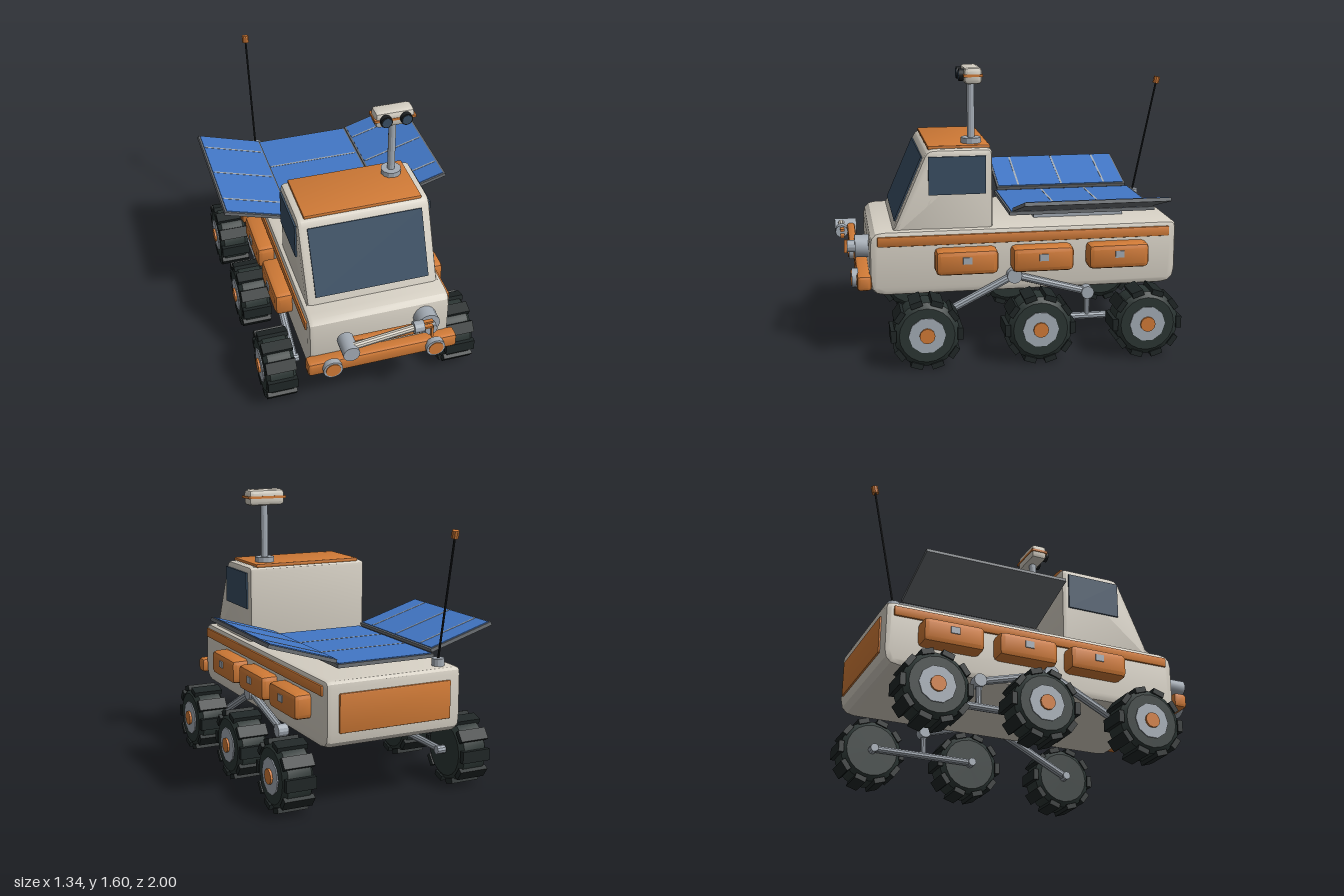
import * as THREE from 'three';
import { toCreasedNormals } from 'three/addons/utils/BufferGeometryUtils.js';
import { RoundedBoxGeometry } from 'three/addons/geometries/RoundedBoxGeometry.js';

const paint = (name, color) => Object.assign(new THREE.MeshStandardMaterial({ color }), { name });
const M = {
  shell: paint('shell cream', 0xd6d0c4),
  orange: paint('orange', 0xd07a36),
  glass: paint('dark glass', 0x384d62),
  metal: paint('pale metal', 0xa3abb4),
  tire: paint('tire', 0x2b3533),
  tread: paint('tread', 0x1f2626),
  blue: paint('solar blue', 0x4277c6),
  frame: paint('panel frame', 0x6c7074),
  black: paint('black', 0x1b1e20),
};
const V = (x, y, z) => new THREE.Vector3(x, y, z);

function add(parent, name, geo, mat, x = 0, y = 0, z = 0) {
  const m = new THREE.Mesh(toCreasedNormals(geo, 0.5), mat);
  m.name = name;
  m.position.set(x, y, z);
  parent.add(m);
  return m;
}
const box = (w, h, d) => new THREE.BoxGeometry(w, h, d);
const chamfered = (w, h, d, r) => new RoundedBoxGeometry(w, h, d, 1, r);
const cylY = (r, h, n = 16) => new THREE.CylinderGeometry(r, r, h, n);
const cylZ = (r, h, n = 16) => cylY(r, h, n).rotateX(Math.PI / 2);
const cylX = (r, h, n = 16) => cylY(r, h, n).rotateZ(-Math.PI / 2);

// Round bar between two points
function rod(parent, name, a, b, r, mat, n = 10) {
  const d = b.clone().sub(a);
  const m = add(parent, name, cylY(r, d.length(), n), mat);
  m.position.copy(a).addScaledVector(d, 0.5);
  m.quaternion.setFromUnitVectors(V(0, 1, 0), d.normalize());
  return m;
}

// Side profile of [z, y, cornerRadius] swept across the width, with bevelled sides
function sideExtrude(corners, half, bevel) {
  const pts = [];
  const n = corners.length;
  corners.forEach(([z, y, r], i) => {
    const p = new THREE.Vector2(z, y);
    const toward = (c) => p.clone().add(new THREE.Vector2(c[0], c[1]).sub(p).setLength(r));
    const curve = new THREE.QuadraticBezierCurve(
      toward(corners[(i + n - 1) % n]), p, toward(corners[(i + 1) % n]));
    pts.push(...curve.getPoints(3));
  });
  const geo = new THREE.ExtrudeGeometry(new THREE.Shape(pts), {
    depth: 2 * (half - bevel), bevelEnabled: true, bevelThickness: bevel,
    bevelSize: bevel, bevelOffset: -bevel, bevelSegments: 2,
  });
  return geo.translate(0, 0, bevel - half).rotateY(-Math.PI / 2);
}

// Wheel with its outer face toward +x
function makeWheel() {
  const g = new THREE.Group();
  g.name = 'wheel';
  const profile = [[0, -0.087], [0.15, -0.087], [0.179, -0.066], [0.179, 0.066], [0.15, 0.087], [0, 0.087]];
  const tire = new THREE.LatheGeometry(profile.map(([r, y]) => new THREE.Vector2(r, y)), 20);
  add(g, 'tire', tire.rotateZ(-Math.PI / 2), M.tire);
  for (let i = 0; i < 10; i++) {
    const a = (i / 10) * Math.PI * 2;
    const lug = add(g, 'treadLug', box(0.172, 0.03, 0.066), M.tread, 0, Math.sin(a) * 0.18, Math.cos(a) * 0.18);
    lug.rotation.x = Math.PI / 2 - a;
  }
  add(g, 'rim', cylX(0.1, 0.02, 10), M.metal, 0.083);
  add(g, 'hubCap', cylX(0.042, 0.03, 12), M.orange, 0.09);
  return g;
}

// Solar panel lying flat: frame, blue cells and divider lines
function makePanel(name, w, d, lines) {
  const g = new THREE.Group();
  g.name = name;
  add(g, 'panelFrame', box(w, 0.02, d), M.frame);
  add(g, 'solarCells', box(w - 0.022, 0.006, d - 0.022), M.blue, 0, 0.011);
  lines.forEach((z) => add(g, 'cellDivider', box(w - 0.035, 0.004, 0.011), M.metal, 0, 0.0135, z));
  return g;
}

export function createModel() {
  const root = new THREE.Group();
  root.name = 'rover';

  // Hull and cab
  add(root, 'hull', sideExtrude([[0.825, 0.355, 0.085], [0.825, 0.72, 0.075],
    [-0.905, 0.72, 0.04], [-0.905, 0.355, 0.085]], 0.4, 0.03), M.shell);
  add(root, 'cab', sideExtrude([[0.7, 0.7, 0.01], [0.5, 1.157, 0.04],
    [0.14, 1.157, 0.03], [0.14, 0.7, 0.01]], 0.372, 0.025), M.shell);
  add(root, 'roofPlate', chamfered(0.66, 0.022, 0.345, 0.008), M.orange, 0, 1.161, 0.32);
  const shield = add(root, 'windshield', box(0.64, 0.385, 0.012), M.glass, 0, 0.935, 0.6);
  shield.rotation.x = -0.412;
  add(root, 'rearPanel', chamfered(0.66, 0.21, 0.02, 0.006), M.orange, 0, 0.548, -0.905);

  // Parts repeated on both sides
  for (const s of [1, -1]) {
    add(root, 'sideWindow', box(0.012, 0.21, 0.315), M.glass, s * 0.376, 1.015, 0.337);
    add(root, 'sideStripe', chamfered(0.02, 0.056, 1.64, 0.006), M.orange, s * 0.4, 0.663, -0.04);
    for (const z of [0.298, -0.124, -0.552]) {
      add(root, 'storageBox', chamfered(0.12, 0.14, 0.345, 0.028), M.orange, s * 0.437, 0.55, z);
      add(root, 'latch', box(0.012, 0.038, 0.05), M.metal, s * 0.497, 0.565, z);
    }

    // Wheels and their axles
    for (const z of [0.535, -0.085, -0.685]) {
      const wheel = makeWheel();
      wheel.position.set(s * 0.528, 0.193, z);
      if (s < 0) wheel.rotation.y = Math.PI;
      root.add(wheel);
      add(root, 'axle', cylX(0.024, 0.06, 10), M.metal, s * 0.42, 0.193, z);
    }

    // Rocker suspension
    const x = s * 0.418;
    const pivot = V(x, 0.45, 0.03), knee = V(x, 0.335, -0.385);
    rod(root, 'frontRocker', V(x, 0.193, 0.535), pivot, 0.023, M.metal);
    rod(root, 'rearRocker', pivot, knee, 0.022, M.metal);
    rod(root, 'bogieStrut', knee, V(x, 0.193, -0.385), 0.017, M.metal);
    rod(root, 'bogieBeam', V(x, 0.193, -0.085), V(x, 0.193, -0.685), 0.021, M.metal);
    add(root, 'rockerPivot', cylX(0.042, 0.08, 12), M.metal, s * 0.408, 0.45, 0.03);
    add(root, 'bogiePivot', cylX(0.036, 0.06, 12), M.metal, x, 0.335, -0.385);

    // Bumper lamps
    add(root, 'lampRing', cylZ(0.054, 0.035, 20), M.metal, s * 0.293, 0.44, 0.903);
    add(root, 'lampLens', cylZ(0.042, 0.01, 20), M.orange, s * 0.293, 0.44, 0.92);

    // Raised solar wings
    const wing = makePanel('solarWing', 0.4, 0.8, [-0.267, 0, 0.267]);
    wing.position.set(s * 0.474, 0.848, -0.385);
    wing.rotation.z = s * 0.295;
    root.add(wing);
  }
  add(root, 'bumper', chamfered(0.85, 0.085, 0.08, 0.018), M.orange, 0, 0.438, 0.855);

  // Centre solar panel on its mount
  add(root, 'panelMount', box(0.4, 0.045, 0.52), M.metal, 0, 0.737, -0.38);
  const deck = makePanel('solarDeck', 0.575, 0.84, [-0.133, 0.133]);
  deck.position.set(0, 0.768, -0.387);
  root.add(deck);

  // Camera mast
  const mast = new THREE.Group();
  mast.name = 'cameraMast';
  mast.position.set(0.237, 0, 0.243);
  root.add(mast);
  add(mast, 'mastBase', cylY(0.056, 0.04, 12), M.metal, 0, 1.182);
  add(mast, 'mastPost', cylY(0.021, 0.33, 12), M.metal, 0, 1.355);
  add(mast, 'cameraHead', chamfered(0.22, 0.092, 0.1, 0.022), M.shell, 0, 1.55, -0.002);
  add(mast, 'cameraBand', box(0.232, 0.014, 0.106), M.orange, 0, 1.552, -0.002);
  for (const x of [-0.056, 0.056]) {
    add(mast, 'lensBarrel', cylZ(0.033, 0.04, 16), M.black, x, 1.553, 0.052);
    add(mast, 'lensGlass', cylZ(0.026, 0.006, 16), M.glass, x, 1.553, 0.072);
  }

  // Whip antenna
  const foot = V(-0.295, 0.75, -0.835), tip = V(-0.295, 1.42, -0.97);
  add(root, 'antennaBase', cylY(0.034, 0.045, 12), M.metal, -0.295, 0.738, -0.835);
  rod(root, 'antennaRod', foot, tip, 0.006, M.black, 8);
  rod(root, 'antennaTip', V(-0.295, 1.414, -0.968), V(-0.295, 1.454, -0.977), 0.02, M.orange, 10);

  // Folded front arm
  const arm = new THREE.Group();
  arm.name = 'frontArm';
  root.add(arm);
  add(arm, 'shoulder', cylZ(0.064, 0.085, 16), M.metal, 0.25, 0.61, 0.855);
  add(arm, 'shoulderCap', cylZ(0.035, 0.05, 12), M.metal, 0.25, 0.61, 0.915);
  add(arm, 'upperArm', chamfered(0.46, 0.05, 0.045, 0.012), M.orange, 0.02, 0.61, 0.906);
  add(arm, 'elbow', cylZ(0.046, 0.125, 16), M.metal, -0.215, 0.61, 0.936);
  rod(arm, 'forearm', V(-0.215, 0.63, 0.962), V(0.15, 0.677, 0.962), 0.02, M.shell);
  add(arm, 'wrist', cylX(0.034, 0.055, 12), M.metal, 0.163, 0.68, 0.965);
  add(arm, 'upperFinger', box(0.056, 0.012, 0.022), M.orange, 0.217, 0.698, 0.962);
  add(arm, 'lowerFinger', box(0.056, 0.012, 0.022), M.orange, 0.217, 0.662, 0.962);
  add(arm, 'shoulderBracket', box(0.012, 0.075, 0.022), M.orange, 0.25, 0.61, 0.945);

  return root;
}
